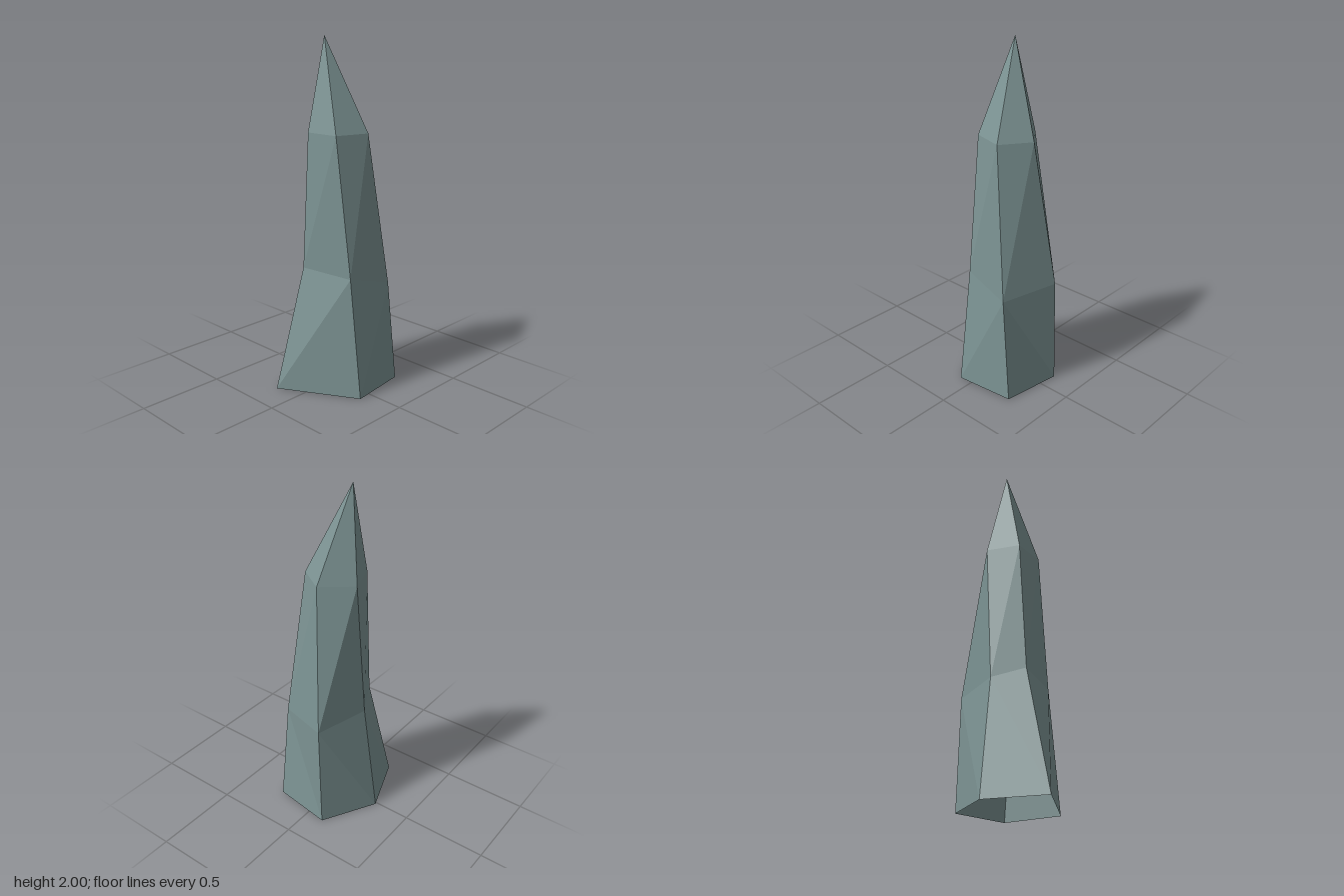
import * as THREE from 'three';

// Five-sided rings, listed left to right as seen from outside
const base = [[-0.08, 0, 0.28], [0.27, 0, 0.24], [0.322, 0, -0.11], [0.013, 0, -0.283], [-0.325, 0, -0.155]];
const waist = [[-0.075, 0.69, 0.193], [0.21, 0.61, 0.222], [0.32, 0.64, -0.093], [0.025, 0.67, -0.196], [-0.147, 0.71, -0.108]];
const shoulder = [[-0.09, 1.48, 0.095], [0.103, 1.48, 0.153], [0.215, 1.48, -0.013], [0.083, 1.48, -0.175], [-0.102, 1.48, -0.108]];
const tip = [0.008, 2, -0.09];

// Joins two rings; rising tells which way each panel's diagonal fold runs
function band(lower, upper, rising) {
  const out = [];
  lower.forEach((a, i) => {
    const j = (i + 1) % lower.length;
    const b = lower[j], c = upper[j], d = upper[i];
    out.push(...(rising[i] ? [a, b, c, a, c, d] : [a, b, d, b, c, d]));
  });
  return out;
}

function facets(points) {
  const geometry = new THREE.BufferGeometry();
  geometry.setAttribute('position', new THREE.Float32BufferAttribute(points.flat(), 3));
  geometry.computeVertexNormals();
  return geometry;
}

export function createModel() {
  const group = new THREE.Group();
  group.name = 'crystal';
  const stone = new THREE.MeshStandardMaterial({ color: 0x7c9393, side: THREE.DoubleSide, flatShading: true });
  stone.name = 'grey teal stone';

  const add = (name, points) => {
    const mesh = new THREE.Mesh(facets(points), stone);
    mesh.name = name;
    group.add(mesh);
  };

  // Hollow shaft, open underneath
  add('lowerShaft', band(base, waist, [true, false, false, false, true]));
  add('upperShaft', band(waist, shoulder, [true, true, true, true, true]));

  // Pointed cap
  add('point', shoulder.flatMap((p, i) => [p, shoulder[(i + 1) % 5], tip]));
  return group;
}
